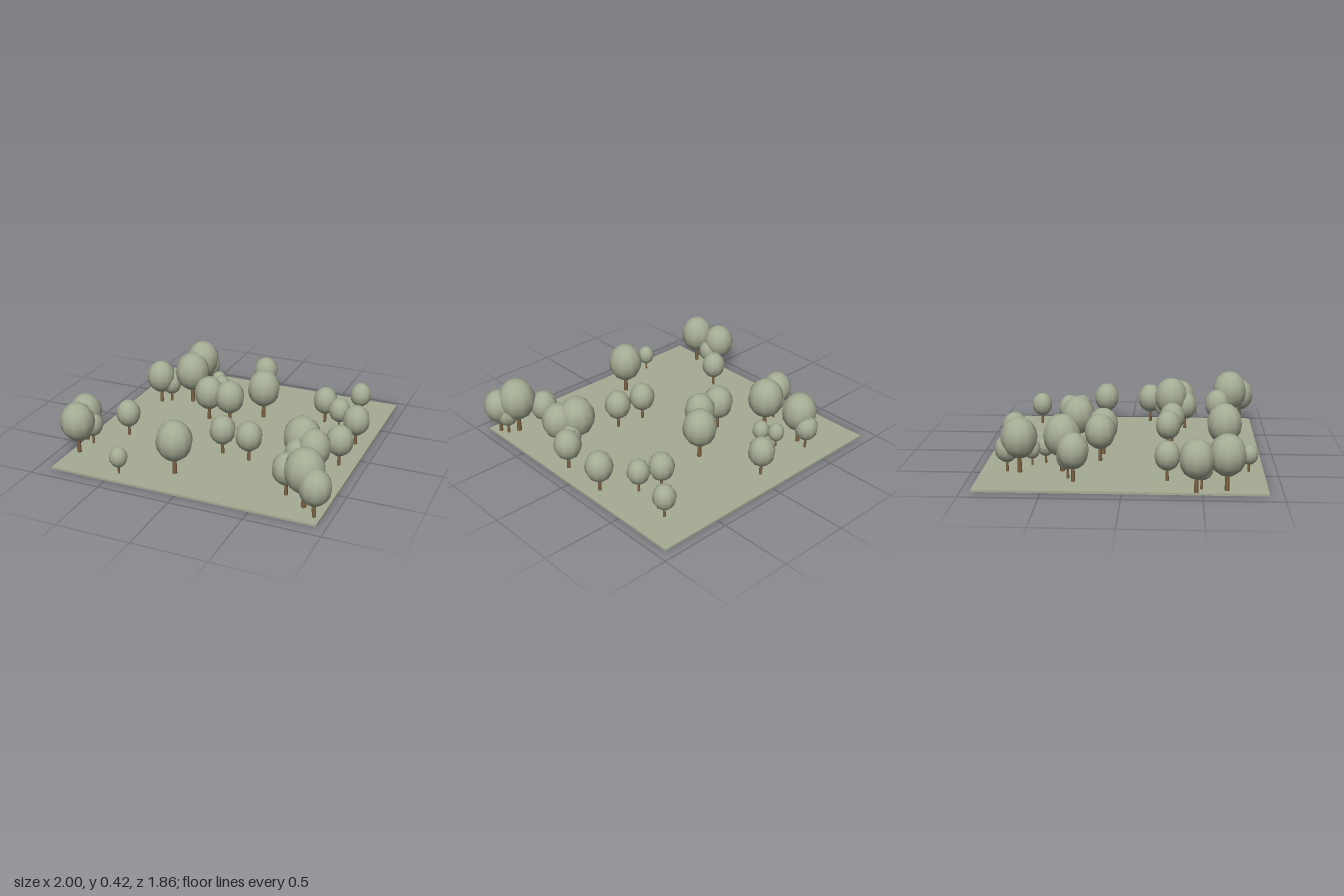
import * as THREE from 'three';

// [x, z, crown radius] of every tree
const TREES = [
  [-0.51, -0.765, 0.08], [-0.53, -0.68, 0.121], [-0.05, -0.78, 0.091], [-0.37, -0.62, 0.057],
  [-0.31, -0.535, 0.06], [0.725, -0.69, 0.077], [-0.49, -0.405, 0.125], [-0.705, -0.315, 0.104],
  [-0.64, -0.355, 0.075], [0.1, -0.355, 0.118], [-0.25, -0.175, 0.106], [-0.085, -0.165, 0.106],
  [0.535, -0.455, 0.087], [0.665, -0.38, 0.077], [0.84, -0.2, 0.094], [-0.66, 0.28, 0.085],
  [0.055, 0.28, 0.09], [0.257, 0.307, 0.092], [0.83, 0.137, 0.094], [0.625, 0.297, 0.125],
  [0.728, 0.367, 0.112], [0.635, 0.403, 0.09], [0.72, 0.25, 0.075], [-0.89, 0.46, 0.111],
  [-0.823, 0.495, 0.075], [-0.843, 0.65, 0.118], [-0.117, 0.663, 0.122], [-0.45, 0.81, 0.061],
  [0.647, 0.643, 0.095], [0.8, 0.742, 0.131], [0.896, 0.826, 0.104], [0.87, 0.77, 0.078],
];

const GROUND_TOP = 0.015;

export function createModel() {
  const material = (name, color) => {
    const m = new THREE.MeshStandardMaterial({ color });
    m.name = name;
    return m;
  };
  const sage = material('sage green', 0xa5ac94);
  const bark = material('bark brown', 0x7d6444);

  const model = new THREE.Group();
  model.name = 'treeField';

  // Flat square of ground
  const ground = new THREE.Mesh(new THREE.BoxGeometry(1.84, GROUND_TOP, 1.845), sage);
  ground.name = 'ground';
  ground.position.set(0.018, GROUND_TOP / 2, -0.013);
  model.add(ground);

  // Unit tree parts, scaled by crown radius
  const crownGeometry = new THREE.SphereGeometry(1, 10, 8);
  crownGeometry.scale(1, 1.14, 1).translate(0, 1.94, 0);
  const trunkGeometry = new THREE.CylinderGeometry(0.09, 0.13, 1.3, 6);
  trunkGeometry.translate(0, 0.65, 0);

  TREES.forEach(([x, z, radius]) => {
    const tree = new THREE.Group();
    tree.name = 'tree';
    const trunk = new THREE.Mesh(trunkGeometry, bark);
    trunk.name = 'trunk';
    const crown = new THREE.Mesh(crownGeometry, sage);
    crown.name = 'crown';
    tree.add(trunk, crown);
    tree.position.set(x, GROUND_TOP, z);
    tree.scale.setScalar(radius);
    model.add(tree);
  });

  return model;
}
